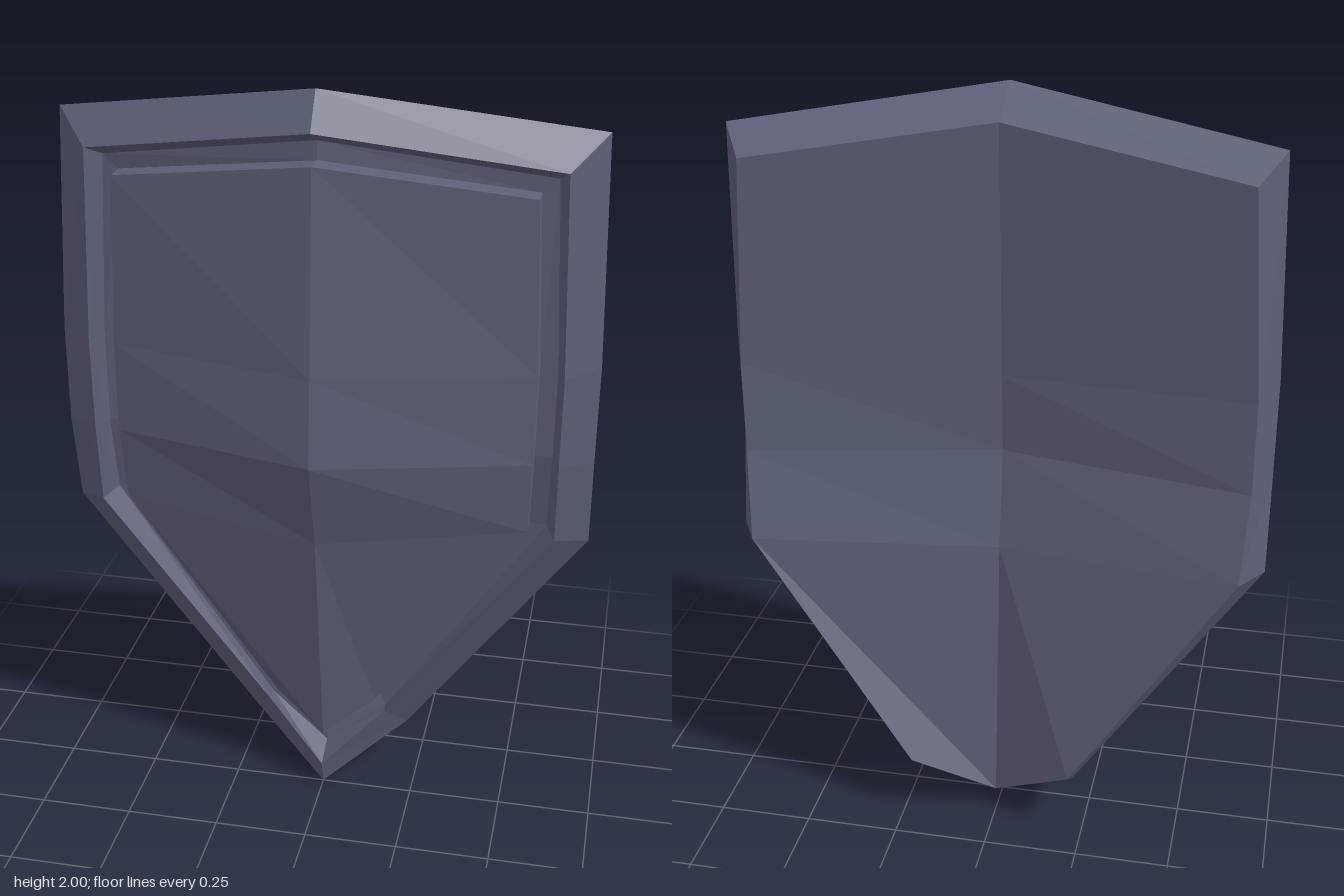
import * as THREE from 'three';

// Half outlines, clockwise seen from the front: top, shoulder, two side points,
// lower corner, point near the tip, tip.
const BACK = [[0, 1.93, -0.045], [0.61, 1.84, -0.15], [0.645, 1.31, -0.13], [0.645, 1.07, -0.135],
  [0.63, 0.84, -0.183], [0.215, 0.2, -0.188], [0, 0.07, -0.095]];
const OUTER = [[0, 2, 0.088], [0.67, 1.9, -0.045], [0.69, 1.33, -0.02], [0.69, 1.07, -0.02],
  [0.69, 0.825, -0.065], [0.22, 0.16, -0.12], [0, 0.005, 0]];
const LIP = [[0, 1.91, 0.15], [0.585, 1.82, 0.04], [0.605, 1.31, 0.037], [0.605, 1.07, 0.03],
  [0.605, 0.85, 0.005], [0.165, 0.235, -0.045], [0, 0.08, 0.025]];
const GROOVE = [[0, 1.877, 0.075], [0.56, 1.79, -0.025], [0.585, 1.31, -0.03], [0.585, 1.07, -0.03],
  [0.58, 0.86, -0.06], [0.16, 0.225, -0.09], [0, 0.11, -0.055]];
const PANEL = [[0, 1.83, 0.138], [0.52, 1.755, 0.04], [0.54, 1.31, 0.03], [0.54, 1.07, 0.03],
  [0.535, 0.865, 0.0], [0.14, 0.28, -0.03], [0, 0.17, 0.005]];
const FOOT = PANEL.map(([x, y, z]) => [x, y, z - 0.062]);

// Ridge points on the centre line, one for each side row
const FRONT_RIDGE = [[0, 1.31, 0.168], [0, 1.08, 0.187], [0, 0.83, 0.11]];
const BACK_RIDGE = [[0, 1.28, -0.01], [0, 1.07, 0], [0, 0.81, -0.045]];

const flip = ([x, y, z]) => [-x, y, z];
const fullLoop = half => [...half, ...half.slice(1, -1).reverse().map(flip)];

function quad(out, a, b, c, d) {
  out.push(...a, ...b, ...c, ...a, ...c, ...d);
}

// Band of quads between each loop and the next
function bands(out, ...halves) {
  const loops = halves.map(fullLoop);
  for (let k = 0; k + 1 < loops.length; k++) {
    const a = loops[k], b = loops[k + 1];
    a.forEach((p, i) => {
      const j = (i + 1) % a.length;
      quad(out, p, b[i], b[j], a[j]);
    });
  }
}

// Ridged surface filling a loop, mirrored across the centre line
function fill(out, h, [c2, c3, c4], front) {
  const faces = [[c2, h[0], h[1], h[2]], [c3, c2, h[2], h[3]], [c4, c3, h[3], h[4]], [h[6], c4, h[4], h[5]]];
  for (const f of faces) {
    const mirrored = f.map(flip);
    quad(out, ...(front ? [...f].reverse() : f));
    quad(out, ...(front ? mirrored : mirrored.reverse()));
  }
}

function makeMesh(name, positions, material) {
  const geometry = new THREE.BufferGeometry();
  geometry.setAttribute('position', new THREE.Float32BufferAttribute(positions, 3));
  geometry.computeVertexNormals();
  const mesh = new THREE.Mesh(geometry, material);
  mesh.name = name;
  return mesh;
}

export function createModel() {
  const group = new THREE.Group();
  group.name = 'shield';
  const material = new THREE.MeshStandardMaterial({ color: 0x5c6078, flatShading: true });

  // Bevelled rim with its inner wall
  const rim = [];
  bands(rim, BACK, OUTER, LIP, GROOVE);
  group.add(makeMesh('rim', rim, material));

  // Hollow back with a centre crease
  const back = [];
  fill(back, BACK, BACK_RIDGE, false);
  group.add(makeMesh('back', back, material));

  // Floor of the groove and the raised front panel
  const groove = [], panel = [];
  bands(groove, GROOVE, FOOT);
  bands(panel, FOOT, PANEL);
  fill(panel, PANEL, FRONT_RIDGE, true);
  group.add(makeMesh('groove', groove, material), makeMesh('frontPanel', panel, material));
  return group;
}
